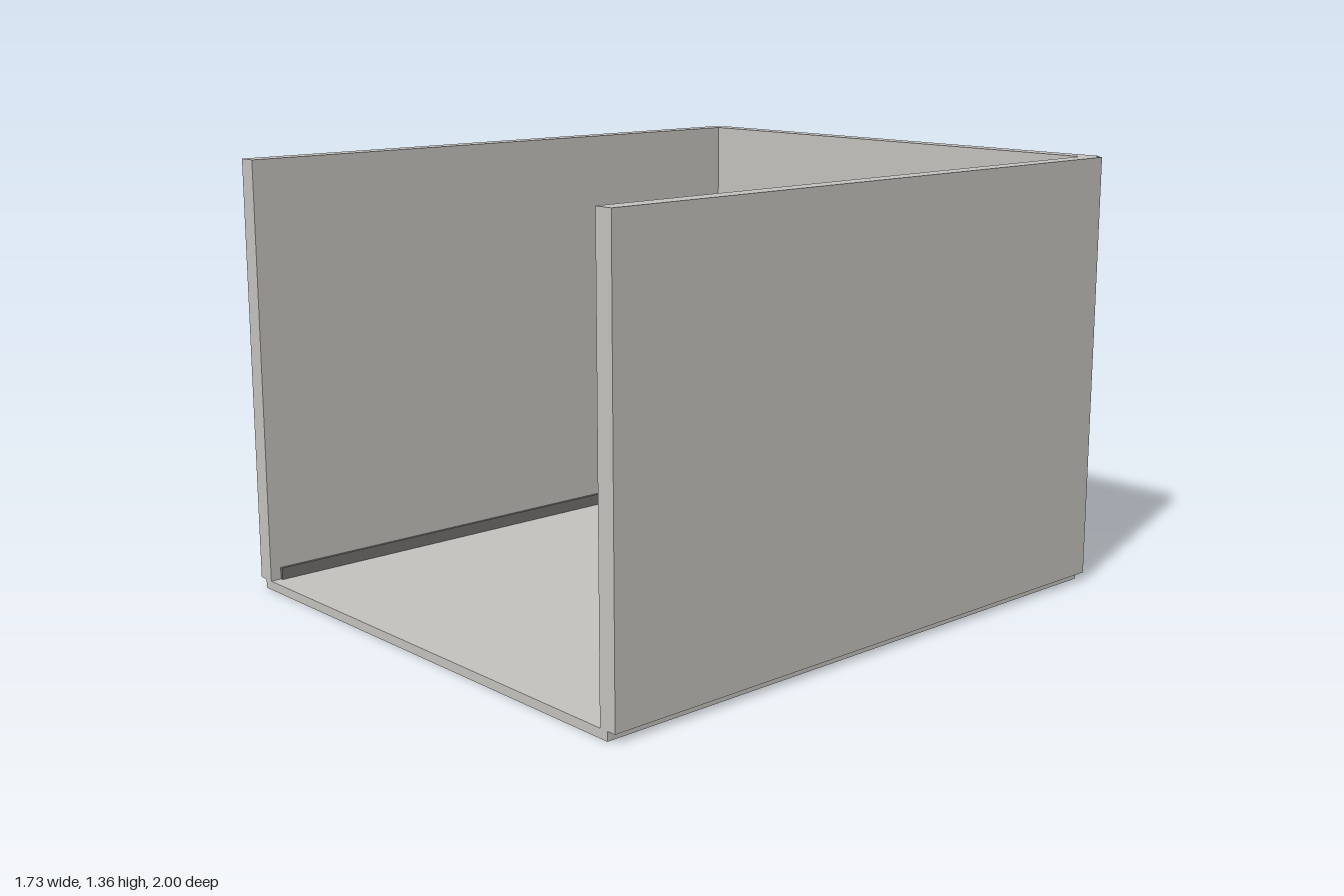
import * as THREE from 'three';

function mat(name, color) {
  const m = new THREE.MeshStandardMaterial({ color });
  m.name = name;
  return m;
}

// Box given by its low and high corners
function box(parent, name, material, [x0, y0, z0], [x1, y1, z1]) {
  const mesh = new THREE.Mesh(new THREE.BoxGeometry(x1 - x0, y1 - y0, z1 - z0), material);
  mesh.position.set((x0 + x1) / 2, (y0 + y1) / 2, (z0 + z1) / 2);
  mesh.name = name;
  parent.add(mesh);
  return mesh;
}

export function createModel() {
  const plaster = mat('plaster grey', 0xc4c2be);
  const skirt = mat('skirting grey', 0x72706d);
  const wood = mat('door brown', 0x987558);
  const metal = mat('metal grey', 0xc4c5c7);

  const room = new THREE.Group();
  room.name = 'room';

  const floorTop = 0.028, top = 1.355;
  const inX = 0.806, midX = 0.835, outX = 0.865;
  const inZ = -0.94, midZ = -0.97;

  // Floor slab and three walls, stepped at the shared edges
  box(room, 'floor', plaster, [-midX, 0, midZ], [midX, floorTop, 1]);
  box(room, 'backWall', plaster, [-midX, floorTop, -1], [midX, top, inZ]);
  box(room, 'rightWall', plaster, [-outX, floorTop, midZ], [-inX, top, 1]);
  box(room, 'leftWall', plaster, [inX, floorTop, midZ], [outX, top, 1]);

  // Skirting boards
  const t = 0.01, skirtTop = 0.066;
  box(room, 'backSkirting', skirt, [-inX, floorTop, inZ], [inX, skirtTop, inZ + t]);
  box(room, 'rightSkirting', skirt, [-inX, floorTop, inZ + t], [-inX + t, skirtTop, 0.965]);
  box(room, 'leftSkirting', skirt, [inX - t, floorTop, inZ + t], [inX, skirtTop, 0.27]);

  // Door on the left wall: frame, recessed leaf, sign plate and lever
  const door = new THREE.Group();
  door.name = 'door';
  room.add(door);
  const frameX = 0.772, leafX = 0.787, z0 = 0.295, z1 = 0.765;
  box(door, 'doorLintel', wood, [frameX, 1.06, z0], [inX, 1.085, z1]);
  for (const [a, b] of [[z0 + 0.006, z0 + 0.04], [z1 - 0.04, z1 - 0.006]]) {
    box(door, 'doorPost', wood, [frameX + 0.001, floorTop, a], [inX, 1.06, b]);
  }
  box(door, 'doorLeaf', wood, [leafX, floorTop, z0 + 0.04], [inX, 1.06, z1 - 0.04]);
  box(door, 'doorPlate', metal, [leafX - 0.004, 0.83, 0.495], [leafX, 0.867, 0.565]);

  // Lever handle on a short stem
  const stem = new THREE.Mesh(new THREE.CylinderGeometry(0.008, 0.008, 0.016, 12), metal);
  stem.rotation.z = Math.PI / 2;
  stem.position.set(leafX - 0.008, 0.517, 0.352);
  stem.name = 'handleStem';
  door.add(stem);
  box(door, 'handleLever', metal, [0.768, 0.51, 0.342], [0.775, 0.524, 0.402]);

  return room;
}
